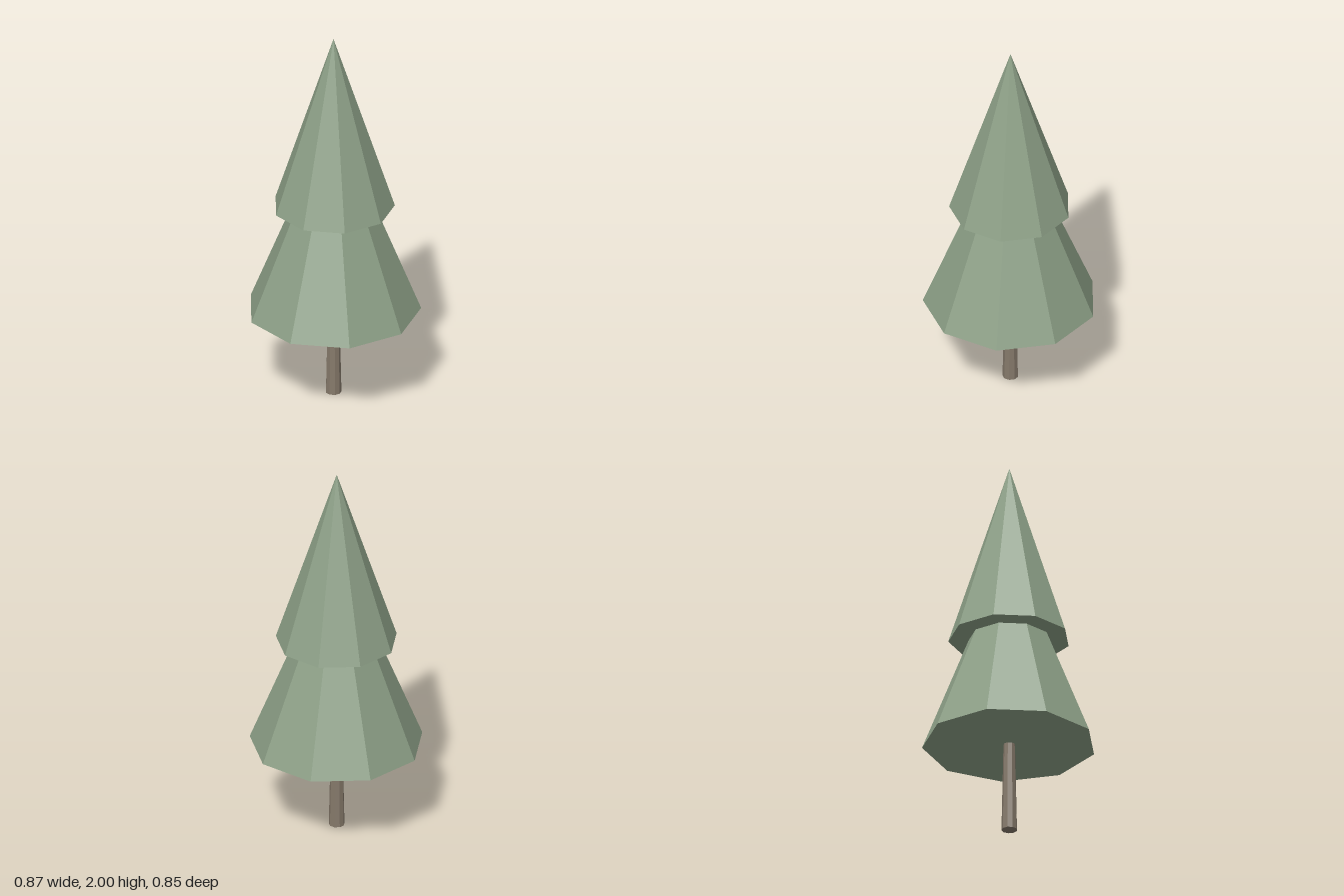
import * as THREE from 'three';

export function createModel() {
  const tree = new THREE.Group();
  tree.name = 'pineTree';

  const mat = (name, color) => {
    const m = new THREE.MeshStandardMaterial({ color, flatShading: true });
    m.name = name;
    return m;
  };
  const foliage = mat('sage green', 0x8da087);
  const bark = mat('bark brown', 0x85796a);

  const SIDES = 9;
  const CENTRE_Z = 0.013; // centres the nine-sided outline in depth

  // A tapered nine-sided section with one corner pointing to the back
  const addSection = (name, topRadius, bottomRadius, bottomY, topY, material) => {
    const height = topY - bottomY;
    const geometry = new THREE.CylinderGeometry(topRadius, bottomRadius, height, SIDES);
    const mesh = new THREE.Mesh(geometry, material);
    mesh.name = name;
    mesh.rotation.y = Math.PI;
    mesh.position.set(0, bottomY + height / 2, CENTRE_Z);
    tree.add(mesh);
  };

  addSection('trunk', 0.029, 0.04, 0, 0.5, bark);
  addSection('lowerFoliage', 0, 0.44, 0.472, 1.57, foliage);
  addSection('upperFoliage', 0, 0.308, 1.055, 2, foliage);

  return tree;
}
